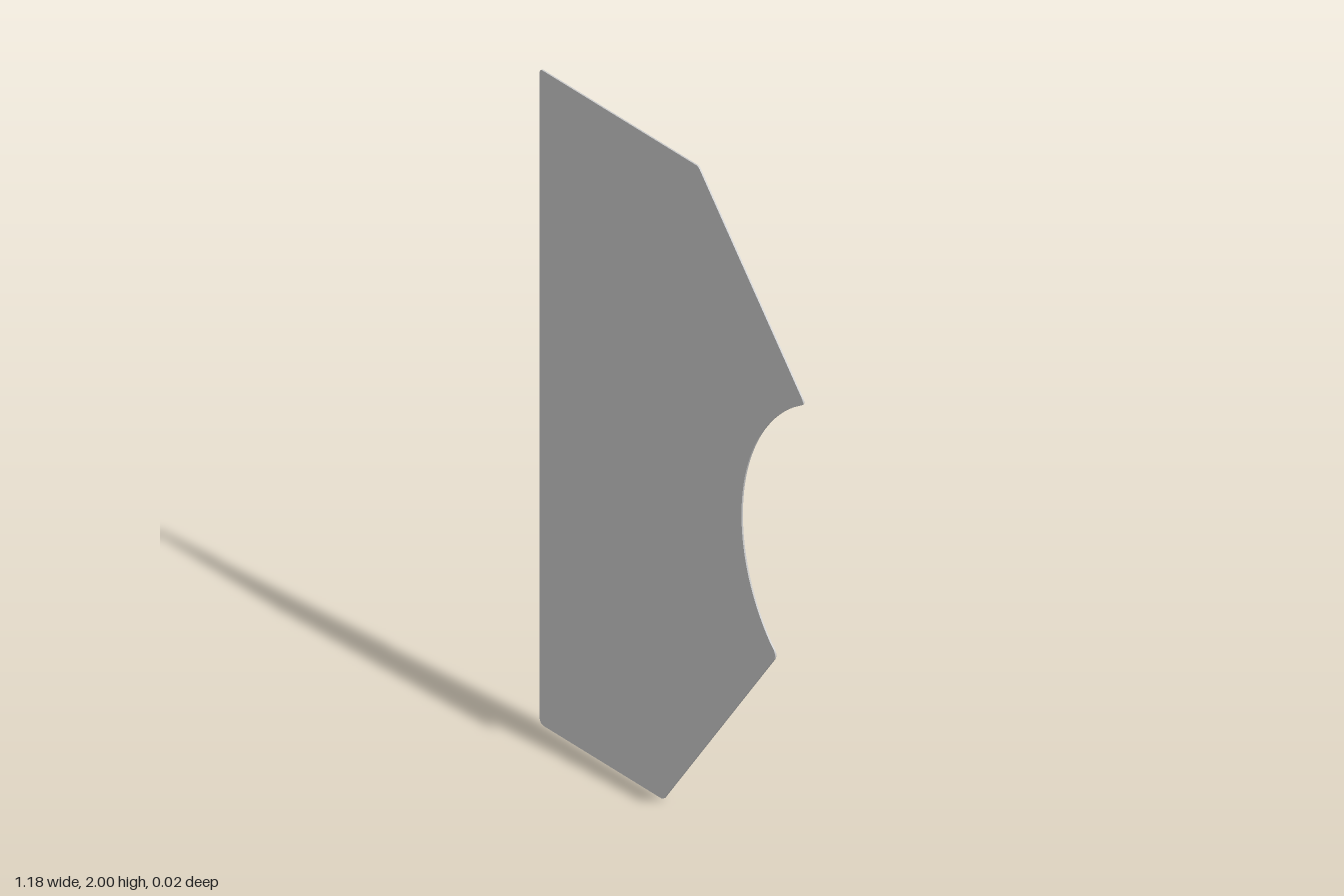
import * as THREE from 'three';

export function createModel() {
  const group = new THREE.Group();
  const thickness = 0.005;
  const rad = THREE.MathUtils.degToRad;

  // Plate outline, counter-clockwise, with rounded corners and a round bite
  const s = new THREE.Shape();
  s.moveTo(-0.57, 0);
  s.lineTo(-0.05, 0);
  s.quadraticCurveTo(-0.035, 0, -0.028, 0.012);
  s.lineTo(0.458, 0.632);
  s.quadraticCurveTo(0.476, 0.654, 0.451, 0.673);
  s.absarc(0.82, 1.017, 0.505, rad(223), rad(119), true);
  s.lineTo(0.584, 1.464);
  s.quadraticCurveTo(0.598, 1.472, 0.585, 1.487);
  s.lineTo(0.13, 1.99);
  s.quadraticCurveTo(0.122, 2, 0.11, 2);
  s.lineTo(-0.58, 2);
  s.quadraticCurveTo(-0.592, 2, -0.592, 1.985);
  s.lineTo(-0.592, 0.022);
  s.quadraticCurveTo(-0.592, 0, -0.57, 0);

  const geometry = new THREE.ExtrudeGeometry(s, {
    depth: thickness, bevelEnabled: false, curveSegments: 32,
  });
  geometry.translate(0, 0, -thickness / 2);

  const plate = new THREE.Mesh(geometry, new THREE.MeshStandardMaterial({ color: 0xcccccc }));
  plate.name = 'plate';
  // The plate is turned very slightly about the vertical
  plate.rotation.y = 0.0155;
  group.add(plate);
  return group;
}
